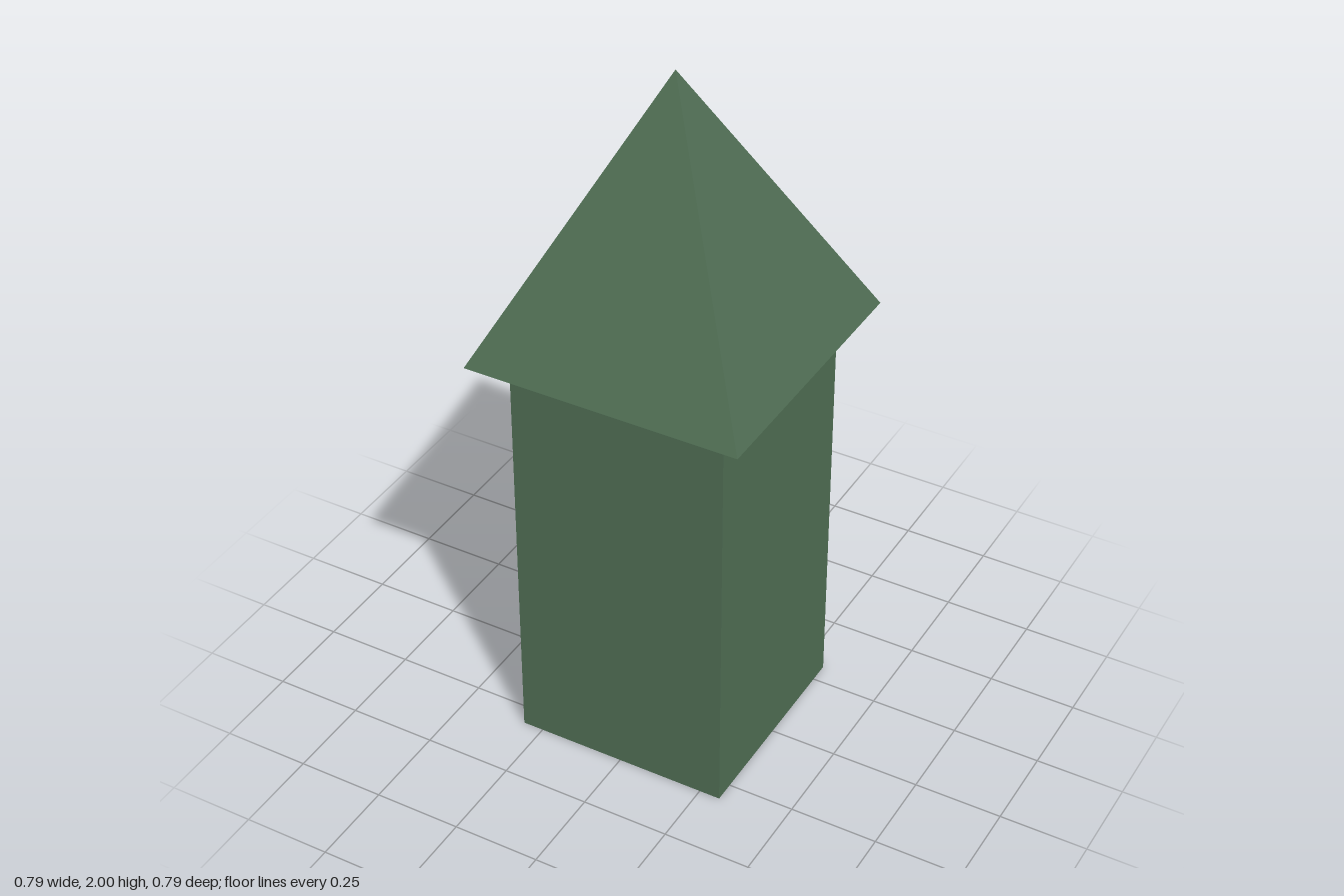
import * as THREE from 'three';

const BODY_HALF = 0.31, ROOF_HALF = 0.393, EAVES = 1.228, TOP = 2;

export function createModel() {
  const group = new THREE.Group();
  group.name = 'tower';
  const green = new THREE.MeshStandardMaterial({ color: 0x4f6d53 });
  green.name = 'mossGreen';

  // Square shaft standing on the ground
  const shaft = new THREE.Mesh(new THREE.BoxGeometry(BODY_HALF * 2, EAVES, BODY_HALF * 2), green);
  shaft.name = 'shaft';
  shaft.position.y = EAVES / 2;
  group.add(shaft);

  // Four-sided roof with overhanging eaves and a closed underside
  const height = TOP - EAVES;
  let cone = new THREE.ConeGeometry(ROOF_HALF * Math.SQRT2, height, 4);
  cone.rotateY(Math.PI / 4);
  cone = cone.toNonIndexed();
  cone.computeVertexNormals(); // flat facets
  const roof = new THREE.Mesh(cone, green);
  roof.name = 'roof';
  roof.position.y = EAVES + height / 2;
  group.add(roof);

  return group;
}
